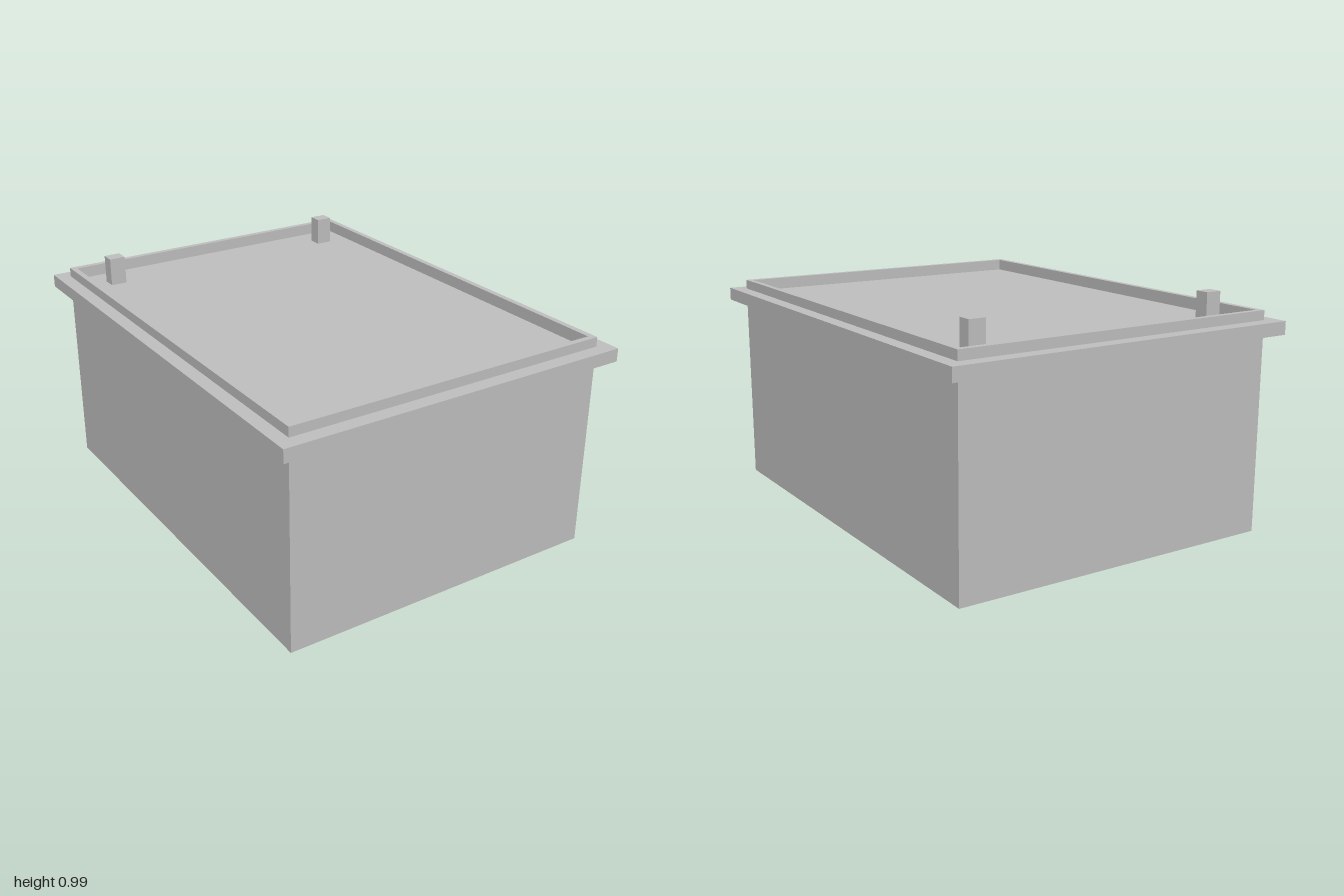
import * as THREE from 'three';

export function createModel() {
  const model = new THREE.Group();
  const grey = new THREE.MeshStandardMaterial({ color: 0xc0c0c0 });
  grey.name = 'light grey';
  const greyThin = new THREE.MeshStandardMaterial({ color: 0xc0c0c0, side: THREE.DoubleSide });
  greyThin.name = 'light grey sheet';

  const add = (name, geometry, x, y, z, material = grey) => {
    const mesh = new THREE.Mesh(geometry, material);
    mesh.name = name;
    mesh.position.set(x, y, z);
    model.add(mesh);
    return mesh;
  };

  // Corners of a centred rectangle from its half sizes
  const rect = (hx, hz) => [[-hx, -hz], [hx, -hz], [hx, hz], [-hx, hz]]
    .map(([x, z]) => new THREE.Vector2(x, z));

  // Rectangular frame lying flat between two heights
  const frame = (name, outer, inner, y0, y1) => {
    const shape = new THREE.Shape(rect(...outer));
    shape.holes.push(new THREE.Path(rect(...inner)));
    const geometry = new THREE.ExtrudeGeometry(shape, { depth: y1 - y0, bevelEnabled: false });
    add(name, geometry.rotateX(-Math.PI / 2), 0, y0, 0);
  };

  // Thin walls, open at the bottom
  const hx = 0.705, hz = 0.94, wallTop = 0.825;
  for (const s of [-1, 1]) {
    add('endWall', new THREE.PlaneGeometry(2 * hx, wallTop), 0, wallTop / 2, s * hz, greyThin)
      .rotation.y = s > 0 ? 0 : Math.PI;
    add('sideWall', new THREE.PlaneGeometry(2 * hz, wallTop), s * hx, wallTop / 2, 0, greyThin)
      .rotation.y = s * Math.PI / 2;
  }

  // Projecting rim, raised lip and the inner seat under the panel
  frame('rim', [0.763, 1], [0.68, 0.915], wallTop, 0.88);
  frame('lip', [hx, hz], [0.68, 0.915], 0.88, 0.92);
  frame('panelSeat', [0.68, 0.915], [0.65, 0.885], wallTop, 0.85);

  // Recessed top panel
  add('topPanel', new THREE.BoxGeometry(1.36, 0.02, 1.83), 0, 0.86, 0);

  // Two upright blocks near the back
  for (const s of [-1, 1]) {
    add('block', new THREE.BoxGeometry(0.07, 0.12, 0.06), s * 0.55, 0.93, -0.785);
  }

  return model;
}
